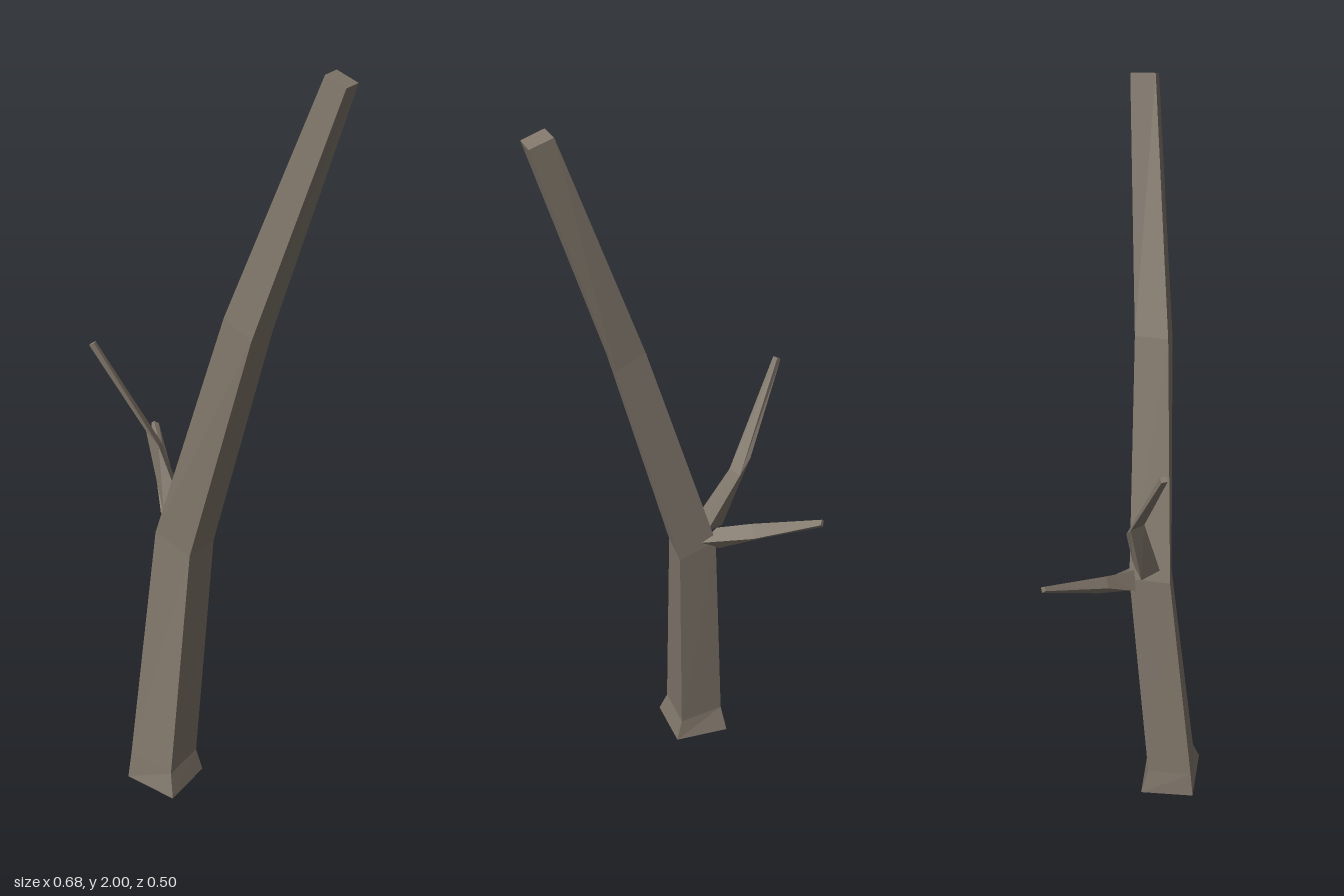
import * as THREE from 'three';

const bark = new THREE.MeshStandardMaterial({ color: 0x80766a, flatShading: true, side: THREE.DoubleSide });
bark.name = 'bark';

// Skins a list of four-cornered rings, root to tip, and caps the tip.
function limb(name, rings) {
  const points = [];
  const quad = (a, b, c, d) => points.push(...a, ...b, ...c, ...a, ...c, ...d);
  for (let i = 0; i < rings.length - 1; i++) {
    for (let j = 0; j < 4; j++) {
      const k = (j + 1) % 4;
      quad(rings[i][j], rings[i][k], rings[i + 1][k], rings[i + 1][j]);
    }
  }
  quad(...rings[rings.length - 1]);
  const geometry = new THREE.BufferGeometry();
  geometry.setAttribute('position', new THREE.Float32BufferAttribute(points, 3));
  geometry.computeVertexNormals();
  const mesh = new THREE.Mesh(geometry, bark);
  mesh.name = name;
  return mesh;
}

export function createModel() {
  const tree = new THREE.Group();
  tree.name = 'bareTree';

  // Leaning trunk with a flared, open foot
  tree.add(limb('trunk', [
    [[-0.235, 0, 0.18], [-0.09, 0, 0.25], [-0.037, 0, 0.105], [-0.18, 0, 0.04]],
    [[-0.225, 0.08, 0.175], [-0.1, 0.065, 0.225], [-0.055, 0.065, 0.105], [-0.175, 0.08, 0.062]],
    [[-0.156, 0.765, 0.118], [-0.056, 0.725, 0.156], [-0.012, 0.725, 0.06], [-0.108, 0.765, 0.02]],
    [[0.035, 1.4, 0.16], [0.11, 1.36, 0.197], [0.148, 1.36, 0.115], [0.075, 1.4, 0.085]],
    [[0.267, 2, 0.19], [0.318, 1.978, 0.215], [0.338, 1.978, 0.157], [0.285, 2, 0.132]],
  ]));

  // Upper branch, bent outwards to the side
  tree.add(limb('upperBranch', [
    [[-0.15, 0.79, 0.04], [-0.137, 0.8, 0.095], [-0.085, 0.81, 0.085], [-0.09, 0.8, 0.035]],
    [[-0.205, 1.01, -0.008], [-0.198, 1.015, 0.03], [-0.165, 0.975, 0.03], [-0.168, 0.97, -0.008]],
    [[-0.34, 1.25, 0.025], [-0.34, 1.25, 0.04], [-0.327, 1.257, 0.04], [-0.327, 1.257, 0.025]],
  ]));

  // Lower branch, reaching backwards
  tree.add(limb('lowerBranch', [
    [[-0.165, 0.77, 0.02], [-0.12, 0.8, 0.03], [-0.07, 0.77, 0.035], [-0.12, 0.735, 0.02]],
    [[-0.196, 0.825, -0.063], [-0.165, 0.84, -0.06], [-0.15, 0.81, -0.085], [-0.175, 0.795, -0.08]],
    [[-0.253, 0.907, -0.243], [-0.245, 0.914, -0.243], [-0.233, 0.905, -0.25], [-0.243, 0.895, -0.25]],
  ]));

  return tree;
}
